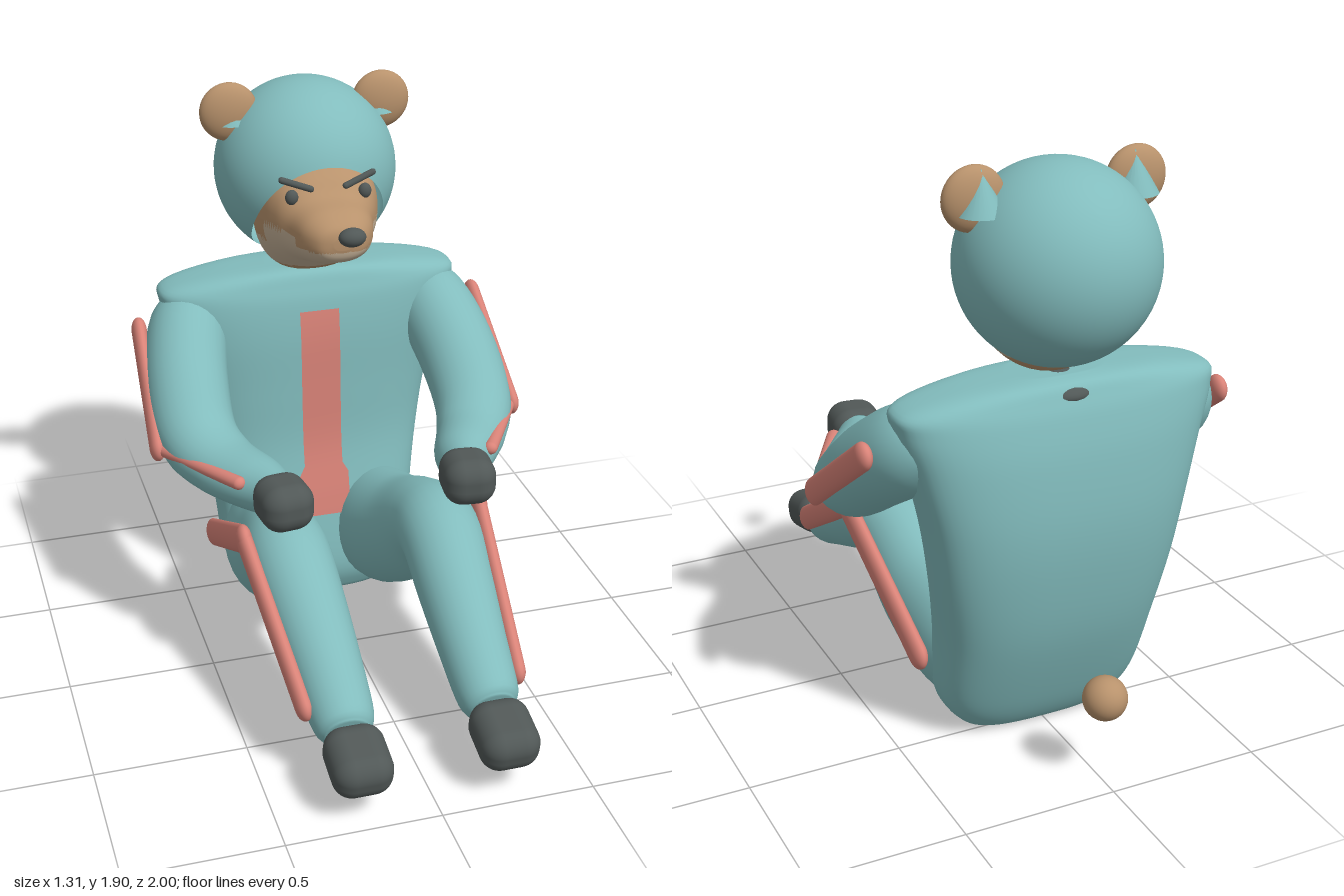
import * as THREE from 'three';
import { RoundedBoxGeometry } from 'three/addons/geometries/RoundedBoxGeometry.js';

const V = (x, y, z) => new THREE.Vector3(x, y, z);
const mat = (name, color, side = THREE.FrontSide) => {
  const m = new THREE.MeshStandardMaterial({ color, side });
  m.name = name;
  return m;
};
const teal = mat('teal suit', 0x82bcbd, THREE.DoubleSide);
const coral = mat('coral trim', 0xd98378, THREE.DoubleSide);
const tan = mat('tan fur', 0xb8926c);
const cream = mat('cream fur', 0xc6b298);
const dark = mat('charcoal', 0x515857);

// Skin over closed rings of points; ends are capped on request
function skin(rings, capStart = true, capEnd = true) {
  const n = rings[0].length, pos = [], idx = [];
  rings.forEach(r => r.forEach(p => pos.push(p.x, p.y, p.z)));
  for (let i = 0; i < rings.length - 1; i++) for (let j = 0; j < n; j++) {
    const a = i * n + j, b = i * n + (j + 1) % n;
    idx.push(a, b, b + n, a, b + n, a + n);
  }
  const cap = (k, flip) => {
    const c = rings[k].reduce((s, p) => s.add(p), V(0, 0, 0)).divideScalar(n);
    const m = pos.push(c.x, c.y, c.z) / 3 - 1;
    for (let j = 0; j < n; j++) {
      const a = k * n + j, b = k * n + (j + 1) % n;
      idx.push(m, flip ? a : b, flip ? b : a);
    }
  };
  if (capStart) cap(0, false);
  if (capEnd) cap(rings.length - 1, true);
  // Turn the faces outward
  const at = i => V(pos[3 * i], pos[3 * i + 1], pos[3 * i + 2]);
  let vol = 0;
  for (let i = 0; i < idx.length; i += 3) vol += at(idx[i]).dot(at(idx[i + 1]).cross(at(idx[i + 2])));
  if (vol < 0) idx.reverse();
  const g = new THREE.BufferGeometry();
  g.setAttribute('position', new THREE.Float32BufferAttribute(pos, 3));
  g.setIndex(idx);
  g.computeVertexNormals();
  return g;
}

// Smoothly resample a table of section values
function smooth(table, n) {
  const out = [];
  for (let i = 0; i <= n; i++) {
    const f = i / n * (table.length - 1), k = Math.min(Math.floor(f), table.length - 2), t = f - k;
    const row = d => table[THREE.MathUtils.clamp(k + d, 0, table.length - 1)];
    out.push(table[k].map((_, c) => {
      const [a, b, e, h] = [-1, 0, 1, 2].map(d => row(d)[c]);
      return b + 0.5 * t * (e - a + t * (2 * a - 5 * b + 4 * e - h + t * (3 * (b - e) + h - a)));
    }));
  }
  return out;
}

const ring = (n, power, place) => Array.from({ length: n }, (_, j) => {
  const a = j / n * Math.PI * 2, s = v => Math.sign(v) * Math.abs(v) ** (2 / power);
  return place(s(Math.cos(a)), s(Math.sin(a)));
});

// Limb from rows of x, y, z, half width, half height
function limb(table) {
  const rows = smooth(table, 40), p = rows.map(r => V(r[0], r[1], r[2]));
  return skin(rows.map((r, i) => {
    const t = p[Math.min(i + 1, 40)].clone().sub(p[Math.max(i - 1, 0)]).normalize();
    const side = V(1, 0, 0).addScaledVector(t, -t.x).normalize();
    const up = t.clone().cross(side);
    return ring(28, 2, (c, s) => p[i].clone().addScaledVector(side, c * r[3]).addScaledVector(up, s * r[4]));
  }));
}

export function createModel() {
  const model = new THREE.Group();
  const add = (name, geo, material, x = 0, y = 0, z = 0) => {
    const m = new THREE.Mesh(geo, material);
    m.name = name;
    m.position.set(x, y, z);
    model.add(m);
    return m;
  };
  const ball = (name, material, p, r) => {
    const m = add(name, new THREE.SphereGeometry(1, 32, 20), material, ...p);
    m.scale.set(...r);
    return m;
  };
  // Flattened round-ended bar from a to b
  const bar = (name, material, a, b, r, thick) => {
    const d = b.clone().sub(a), len = d.length(), y = d.normalize();
    const x = V(1, 0, 0).addScaledVector(y, -y.x).normalize();
    const m = add(name, new THREE.CapsuleGeometry(r, len, 8, 20), material);
    m.quaternion.setFromRotationMatrix(new THREE.Matrix4().makeBasis(x, y, x.clone().cross(y)));
    m.position.copy(a).add(b).multiplyScalar(0.5);
    m.scale.x = thick / r;
  };

  // Torso: y, half width, front z, back z
  const torso = smooth([
    [0.0, 0.2, -0.36, -0.52], [0.03, 0.27, -0.33, -0.56], [0.14, 0.34, -0.3, -0.62], [0.38, 0.365, -0.33, -0.71],
    [0.6, 0.4, -0.37, -0.757], [0.8, 0.435, -0.38, -0.775], [1.0, 0.485, -0.385, -0.762],
    [1.13, 0.525, -0.4, -0.735], [1.195, 0.515, -0.42, -0.71], [1.235, 0.34, -0.44, -0.685], [1.25, 0.14, -0.47, -0.64],
  ], 60);
  add('torso', skin(torso.map(([y, w, f, b]) =>
    ring(56, 2.9, (c, s) => V(c * w, y, (f + b) / 2 + s * (f - b) / 2)))), teal);

  // Chest stripe, a thin skin in front of the torso
  const rows = torso.filter(r => r[0] > 0.32 && r[0] < 1.12), strip = [], faces = [];
  rows.forEach(([y, , f], i) => {
    const w = y < 0.5 ? 0.09 : 0.07;
    strip.push(-w, y, f + 0.006, w, y, f + 0.006);
    const k = 2 * i;
    if (i) faces.push(k - 2, k - 1, k + 1, k - 2, k + 1, k);
  });
  const stripe = new THREE.BufferGeometry();
  stripe.setAttribute('position', new THREE.Float32BufferAttribute(strip, 3));
  stripe.setIndex(faces);
  stripe.computeVertexNormals();
  add('chestStripe', stripe, coral);

  // Head with muzzle: z, top y, bottom y, half width
  const head = skin(smooth([
    [-0.09, 1.49, 1.45, 0.03], [-0.105, 1.525, 1.41, 0.08], [-0.16, 1.56, 1.38, 0.12], [-0.24, 1.585, 1.355, 0.145],
    [-0.3, 1.635, 1.335, 0.175], [-0.37, 1.67, 1.295, 0.2], [-0.46, 1.69, 1.245, 0.205],
    [-0.56, 1.69, 1.24, 0.19], [-0.64, 1.65, 1.28, 0.15], [-0.68, 1.55, 1.42, 0.06],
  ], 54).map(([z, t, b, w]) => ring(48, 2.4, (c, s) => V(c * w, (t + b) / 2 + s * (t - b) / 2, z))));
  // Lower jaw and throat are cream
  const P = head.attributes.position, ix = head.index.array, upper = [], lower = [];
  for (let i = 0; i < ix.length; i += 3) {
    const f = [ix[i], ix[i + 1], ix[i + 2]];
    const y = (P.getY(f[0]) + P.getY(f[1]) + P.getY(f[2])) / 3;
    const z = (P.getZ(f[0]) + P.getZ(f[1]) + P.getZ(f[2])) / 3;
    const limit = z > -0.2 ? 1.44 : z > -0.37 ? 1.47 : 1.4;
    (y < limit && z > -0.56 && (z > -0.4 || y > 1.29) ? lower : upper).push(...f);
  }
  head.setIndex([...upper, ...lower]);
  head.addGroup(0, upper.length, 0);
  head.addGroup(upper.length, lower.length, 1);
  add('head', head, [tan, cream]);

  // Open-faced hood, its opening tilted forward and down
  const hood = [];
  for (let i = 0; i < 36; i++) hood.push(Array.from({ length: 64 }, (_, j) => {
    const a = j / 64 * Math.PI * 2, edge = 0.81 + 0.2 * Math.sin(a) ** 2;
    const th = edge + (Math.PI - 0.02 - edge) * i / 35;
    return V(Math.sin(th) * Math.cos(a), Math.sin(th) * Math.sin(a), Math.cos(th)).multiplyScalar(0.312);
  }));
  add('hood', skin(hood, false, true), teal, 0, 1.58, -0.57).rotation.x = 0.717;

  ball('nose', dark, [0, 1.533, 0.012], [0.045, 0.031, 0.034]);
  ball('neckRoll', dark, [0, 1.21, -0.62], [0.11, 0.04, 0.095]).rotation.x = -0.15;
  ball('tail', tan, [0, 0.295, -0.93], [0.07, 0.07, 0.07]);

  for (const s of [1, -1]) {
    const side = s > 0 ? 'left' : 'right';
    // Face details and ears
    ball(side + 'Eye', dark, [s * 0.125, 1.582, -0.268], [0.022, 0.026, 0.018]);
    bar(side + 'Brow', dark, V(s * 0.155, 1.64, -0.28), V(s * 0.06, 1.605, -0.268), 0.011, 0.011);
    ball(side + 'Ear', tan, [s * 0.265, 1.8, -0.555], [0.1, 0.1, 0.045]);
    add(side + 'EarCover', new THREE.ConeGeometry(0.075, 0.13, 24), teal, s * 0.25, 1.825, -0.575);

    // Arm, mitten and arm trim
    add(side + 'Arm', limb([
      [s * 0.4, 1.08, -0.59, 0.1, 0.1], [s * 0.445, 1.045, -0.51, 0.135, 0.14], [s * 0.485, 0.93, -0.34, 0.14, 0.14],
      [s * 0.49, 0.81, -0.17, 0.135, 0.125], [s * 0.435, 0.765, -0.02, 0.12, 0.1],
      [s * 0.355, 0.76, 0.13, 0.1, 0.09], [s * 0.32, 0.765, 0.23, 0.07, 0.075],
    ]), teal);
    add(side + 'Mitten', new RoundedBoxGeometry(0.175, 0.16, 0.19, 5, 0.065), dark, s * 0.31, 0.77, 0.29).rotation.y = -s * 0.12;
    bar(side + 'UpperArmTrim', coral, V(s * 0.61, 1.055, -0.53), V(s * 0.63, 0.785, -0.16), 0.045, 0.026);
    bar(side + 'ForearmTrim', coral, V(s * 0.625, 0.785, -0.16), V(s * 0.43, 0.8, 0.18), 0.022, 0.024);

    // Leg, boot and leg trim
    add(side + 'Leg', limb([
      [s * 0.19, 0.24, -0.46, 0.15, 0.19], [s * 0.21, 0.27, -0.32, 0.165, 0.215], [s * 0.24, 0.35, -0.14, 0.155, 0.19],
      [s * 0.26, 0.46, 0.03, 0.14, 0.155], [s * 0.265, 0.49, 0.17, 0.14, 0.14], [s * 0.255, 0.4, 0.36, 0.13, 0.13],
      [s * 0.245, 0.3, 0.56, 0.115, 0.115], [s * 0.24, 0.215, 0.73, 0.1, 0.1], [s * 0.24, 0.195, 0.775, 0.07, 0.07],
    ]), teal);
    add(side + 'Boot', new RoundedBoxGeometry(0.195, 0.15, 0.225, 5, 0.065), dark, s * 0.238, 0.175, 0.885).rotation.x = 0.24;
    const hip = V(s * 0.395, 0.275, -0.42), knee = V(s * 0.41, 0.565, 0.14), ankle = V(s * 0.355, 0.255, 0.68);
    bar(side + 'ThighTrim', coral, hip, knee, 0.05, 0.027);
    bar(side + 'ShinTrim', coral, knee, ankle, 0.045, 0.027);
  }
  return model;
}
